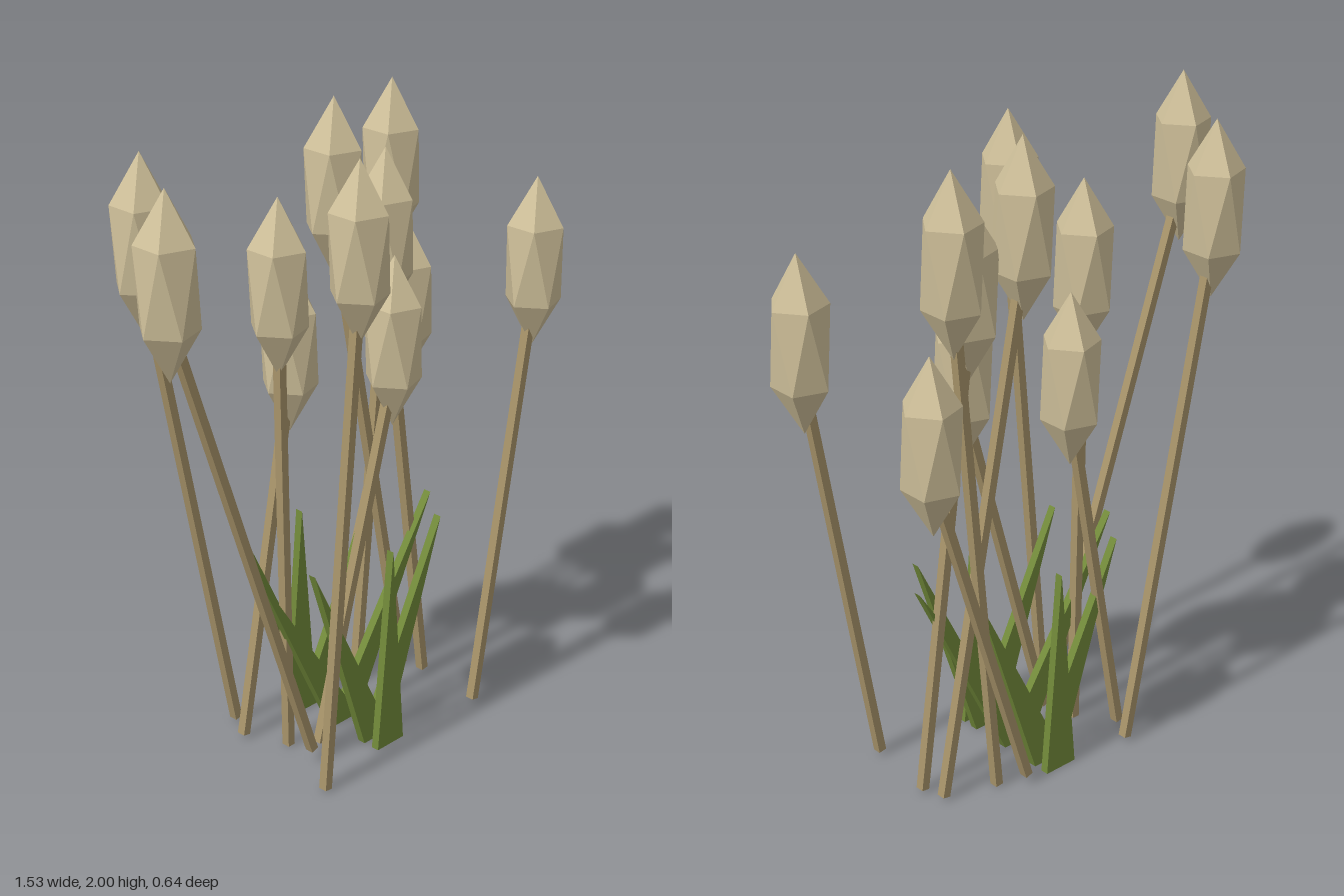
import * as THREE from 'three';

const material = (name, color) => {
  const m = new THREE.MeshStandardMaterial({ color, flatShading: true });
  m.name = name;
  return m;
};

export function createModel() {
  const model = new THREE.Group();
  model.name = 'reedClump';
  const headMat = material('paleTan', 0xcfc09a);
  const stemMat = material('stemBrown', 0xa8946a);
  const leafMat = material('leafGreen', 0x728a3a);

  // Seed head: icosahedron standing on a corner, stretched upwards
  const headGeo = new THREE.IcosahedronGeometry(1, 0);
  headGeo.rotateX(-Math.atan((1 + Math.sqrt(5)) / 2));
  headGeo.rotateY(Math.PI / 2);
  headGeo.scale(0.098, 0.27, 0.098);

  // Reeds: head x, head top y, z, base x, base y
  const reeds = [
    [-0.68, 1.97, 0.10, -0.153, 0.05],
    [-0.47, 1.945, -0.237, -0.153, 0.017],
    [-0.157, 1.79, -0.025, -0.13, 0],
    [-0.10, 1.945, 0.233, -0.23, 0.005],
    [0.008, 1.525, -0.15, -0.202, 0.015],
    [0.14, 2.0, -0.097, 0.465, 0.012],
    [0.28, 1.835, -0.025, 0.487, 0.012],
    [0.23, 1.54, 0.062, -0.082, 0.025],
    [0.438, 1.985, -0.148, 0.30, 0.005],
    [0.563, 1.51, -0.197, 0.223, 0.03],
    [0.677, 1.71, 0.22, 0.455, 0.015],
  ];
  const up = new THREE.Vector3(0, 1, 0);
  for (const [x, top, z, bx, by] of reeds) {
    const reed = new THREE.Group();
    reed.name = 'reed';
    const head = new THREE.Mesh(headGeo, headMat);
    head.name = 'seedHead';
    head.position.set(x, top - 0.27, z);

    const base = new THREE.Vector3(bx, by, z);
    const end = new THREE.Vector3(x, top - 0.37, z);
    const axis = end.clone().sub(base);
    const stem = new THREE.Mesh(new THREE.BoxGeometry(0.026, axis.length(), 0.028), stemMat);
    stem.name = 'stem';
    stem.position.copy(base).add(end).multiplyScalar(0.5);
    stem.quaternion.setFromUnitVectors(up, axis.normalize());
    reed.add(head, stem);
    model.add(reed);
  }

  // Leaves: thin leaning triangles on a shared base, as [lean, z]
  const leaves = [
    [0, 0.187], [0, -0.197],
    [-0.275, 0.13], [0.275, 0.13],
    [-0.275, -0.143], [0.275, -0.143],
    [-0.38, -0.006], [0.38, -0.006],
  ];
  for (const [lean, z] of leaves) {
    const shape = new THREE.Shape([
      new THREE.Vector2(-0.057, 0),
      new THREE.Vector2(0.057, 0),
      new THREE.Vector2(lean, 0.67),
    ]);
    const geo = new THREE.ExtrudeGeometry(shape, { depth: 0.026, bevelEnabled: false });
    const leaf = new THREE.Mesh(geo, leafMat);
    leaf.name = 'leaf';
    leaf.position.set(0.093, 0, z - 0.013);
    model.add(leaf);
  }
  return model;
}
